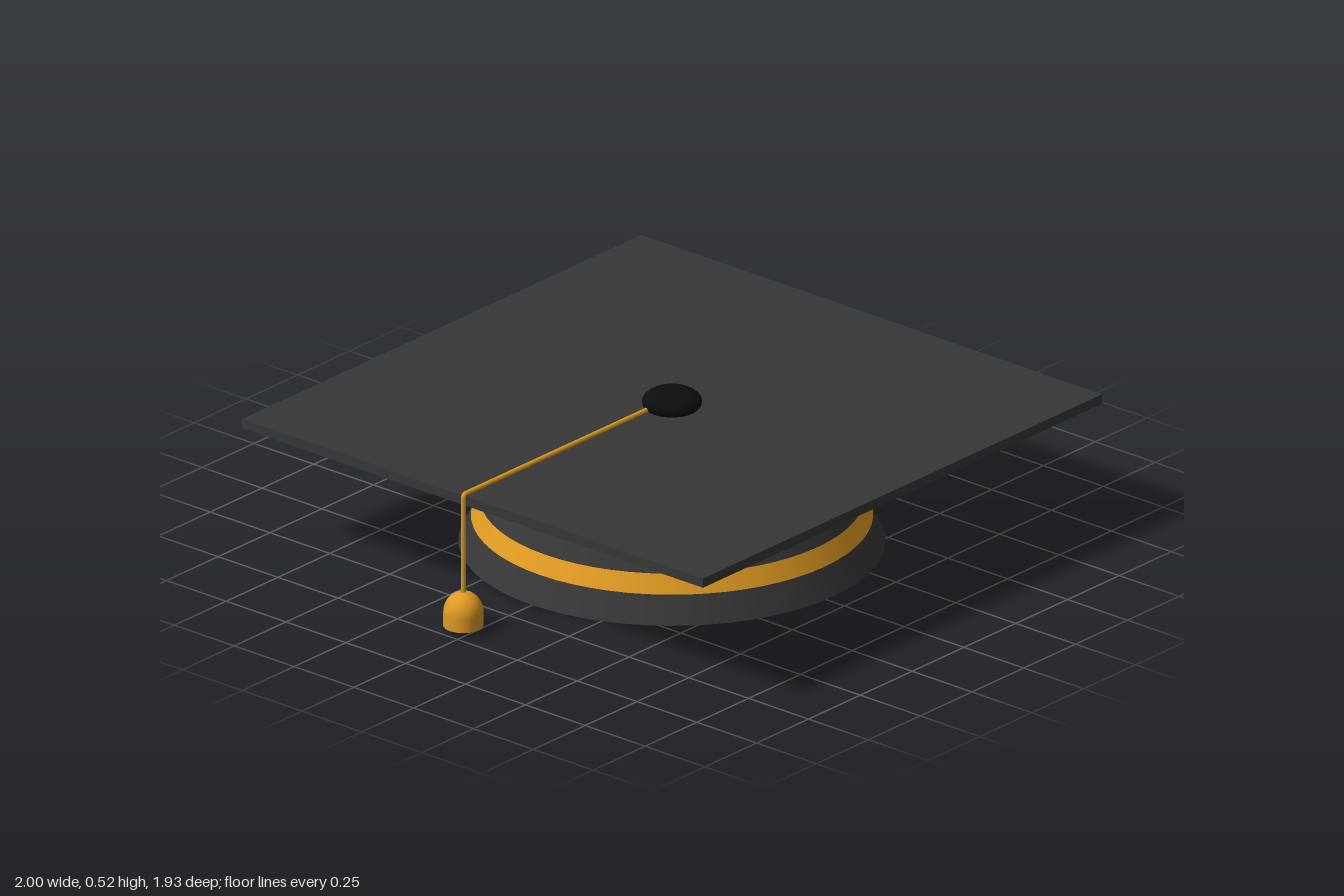
import * as THREE from 'three';

export function createModel() {
  const cap = new THREE.Group();
  cap.name = 'graduationCap';
  const cloth = new THREE.MeshStandardMaterial({ name: 'charcoal cloth', color: 0x373737, side: THREE.DoubleSide });
  const gold = new THREE.MeshStandardMaterial({ name: 'gold', color: 0xe09a22 });
  const black = new THREE.MeshStandardMaterial({ name: 'black', color: 0x0d0d0d });

  const CX = 0.035, CORD_X = -0.937, CORD_Z = -0.03, CORD_Y = 0.47;
  const add = (name, geometry, material, x, y, z) => {
    const mesh = new THREE.Mesh(geometry, material);
    mesh.name = name;
    mesh.position.set(x, y, z);
    cap.add(mesh);
    return mesh;
  };

  // Hollow tapered crown, open at the bottom
  const crownRadius = (y) => 0.675 - 0.202 * (y / 0.43);
  add('crown', new THREE.CylinderGeometry(crownRadius(0.43), crownRadius(0), 0.43, 64, 1, true), cloth, CX, 0.215, 0);

  // Thin gold band following the taper
  add('band', new THREE.CylinderGeometry(crownRadius(0.15) + 0.003, crownRadius(0.09) + 0.003, 0.06, 64, 1, true), gold, CX, 0.12, 0);

  // Square board and its button
  add('board', new THREE.BoxGeometry(1.926, 0.032, 1.926), cloth, CX, 0.445, 0);
  add('button', new THREE.SphereGeometry(0.095, 32, 16), black, CX, 0.48, 0).scale.y = 0.47;

  // Cord across the board, then hanging over the edge
  const cord = new THREE.CurvePath();
  const start = new THREE.Vector3(CX, CORD_Y, CORD_Z);
  const bendIn = new THREE.Vector3(CORD_X + 0.012, CORD_Y, CORD_Z);
  const corner = new THREE.Vector3(CORD_X, CORD_Y, CORD_Z);
  const bendOut = new THREE.Vector3(CORD_X, CORD_Y - 0.012, CORD_Z);
  const end = new THREE.Vector3(CORD_X, 0.12, CORD_Z);
  cord.add(new THREE.LineCurve3(start, bendIn));
  cord.add(new THREE.QuadraticBezierCurve3(bendIn, corner, bendOut));
  cord.add(new THREE.LineCurve3(bendOut, end));
  add('cord', new THREE.TubeGeometry(cord, 240, 0.008, 10), gold, 0, 0, 0);

  // Tassel: straight skirt with a domed top and a flat base
  const R = 0.064;
  add('tasselSkirt', new THREE.CylinderGeometry(R, R, 0.045, 32), gold, CORD_X, 0.0425, CORD_Z);
  add('tasselDome', new THREE.SphereGeometry(R, 32, 12, 0, Math.PI * 2, 0, Math.PI / 2), gold, CORD_X, 0.065, CORD_Z).scale.y = 1.1;

  return cap;
}
